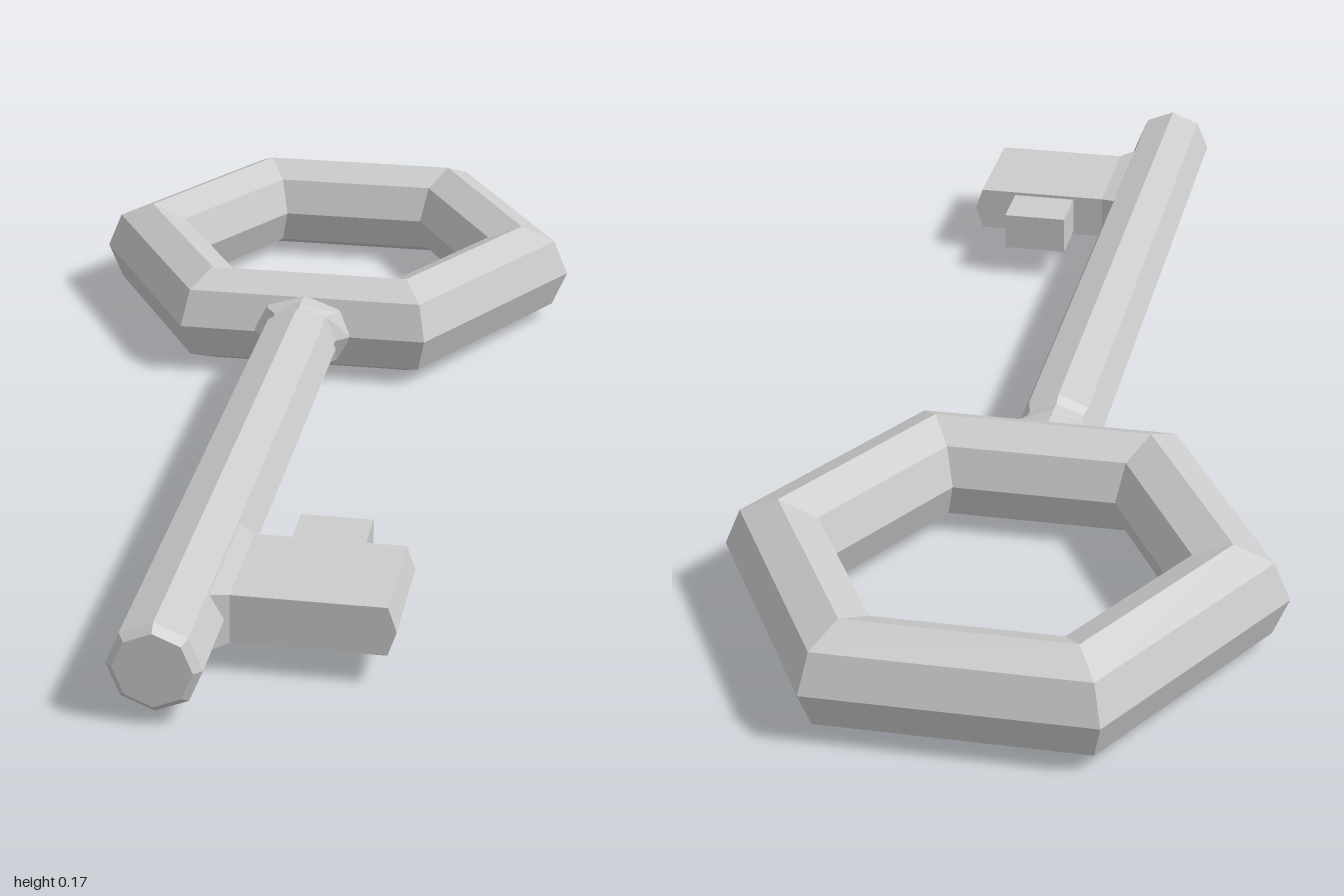
import * as THREE from 'three';

const MID = 0.0875; // height of the key's centre plane

const material = new THREE.MeshStandardMaterial({ color: 0xcccccc, flatShading: true });

function add(parent, name, geometry, x, y, z) {
  const mesh = new THREE.Mesh(geometry, material);
  mesh.name = name;
  mesh.position.set(x, y, z);
  parent.add(mesh);
  return mesh;
}

// Eight-sided solid along z; each section is [z, half width, half height], back to front
function loft(sections, sides = 8) {
  const positions = [], index = [];
  for (const [z, rx, ry] of sections) {
    for (let i = 0; i < sides; i++) {
      const a = (i / sides) * Math.PI * 2;
      positions.push(Math.cos(a) * rx, Math.sin(a) * ry, z);
    }
  }
  for (let s = 0; s < sections.length - 1; s++) {
    for (let i = 0; i < sides; i++) {
      const a = s * sides + i, b = s * sides + (i + 1) % sides;
      index.push(a, b, b + sides, a, b + sides, a + sides);
    }
  }
  const last = (sections.length - 1) * sides;
  for (let i = 1; i < sides - 1; i++) {
    index.push(0, i + 1, i, last, last + i, last + i + 1);
  }
  const geometry = new THREE.BufferGeometry();
  geometry.setAttribute('position', new THREE.Float32BufferAttribute(positions, 3));
  geometry.setIndex(index);
  geometry.computeVertexNormals();
  return geometry;
}

export function createModel() {
  const key = new THREE.Group();
  key.name = 'key';

  // Hexagonal handle with an octagonal section
  const bow = new THREE.TorusGeometry(0.35, MID, 8, 6);
  bow.rotateX(Math.PI / 2);
  add(key, 'bow', bow, 0, MID, -0.621);

  // Flared neck joining the handle to the shaft
  add(key, 'neck', loft([
    [-0.3, 0.1, 0.064],
    [-0.245, 0.088, 0.064],
    [-0.222, 0.064, 0.064],
    [-0.2, 0.062, 0.062],
  ]), 0, MID, 0);

  // Shaft with bevelled ends
  add(key, 'shaft', loft([
    [-0.21, 0.06, 0.06],
    [-0.185, 0.07, 0.07],
    [0.988, 0.07, 0.07],
    [1, 0.058, 0.058],
  ]), 0, MID, 0);

  // Bit plate with a pointed outer edge
  const outline = new THREE.Shape([
    [0.02, -0.0385], [0.307, -0.0385], [0.32, 0], [0.307, 0.0385], [0.02, 0.0385],
  ].map(([x, y]) => new THREE.Vector2(x, y)));
  add(key, 'bit', new THREE.ExtrudeGeometry(outline, { depth: 0.2, bevelEnabled: false }), 0, MID, 0.63);

  // Flare where the bit meets the shaft
  const root = new THREE.CylinderGeometry(Math.SQRT2, Math.SQRT2 * 1.2, 0.032, 4);
  root.rotateY(Math.PI / 4).rotateZ(-Math.PI / 2).scale(1, 0.0387, 0.1005);
  add(key, 'bitRoot', root, 0.061, MID, 0.73);

  // Small tooth behind the bit
  add(key, 'tooth', new THREE.BoxGeometry(0.112, 0.066, 0.11), 0.188, MID, 0.595);

  return key;
}
